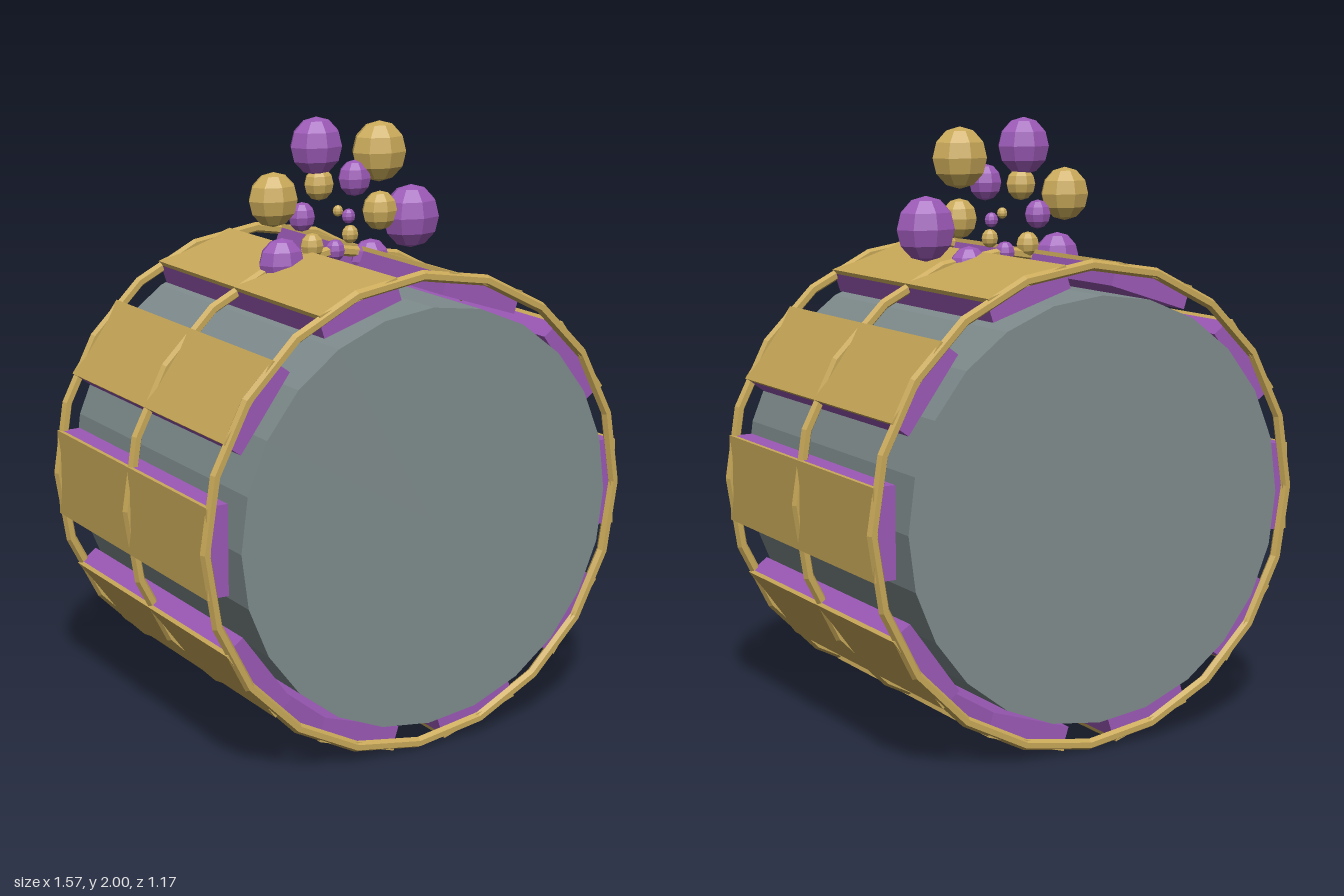
import * as THREE from 'three';

const CENTER_Y = 0.796;   // axis height of the drum
const PANELS = 10;

function material(name, color) {
  const m = new THREE.MeshStandardMaterial({ color, flatShading: true });
  m.name = name;
  return m;
}

export function createModel() {
  const gold = material('gold', 0xc9a959);
  const purple = material('purple', 0x9b59b6);
  const grey = material('slate grey', 0x7f8c8d);

  const model = new THREE.Group();
  model.name = 'ornamentedDrum';

  const add = (parent, name, geometry, mat) => {
    const mesh = new THREE.Mesh(geometry, mat);
    mesh.name = name;
    parent.add(mesh);
    return mesh;
  };

  // Everything that turns around the horizontal z axis
  const drum = new THREE.Group();
  drum.name = 'drum';
  drum.position.y = CENTER_Y;
  model.add(drum);

  // Grey core
  add(drum, 'core', new THREE.CylinderGeometry(0.68, 0.68, 1.17, 24).rotateX(Math.PI / 2), grey);

  // Purple blocks, each covered by a thin gold plate
  const blockGeometry = new THREE.BoxGeometry(0.064, 0.29, 1.04).translate(0.721, 0, 0);
  const plateGeometry = new THREE.BoxGeometry(0.014, 0.29, 1.06).translate(0.76, 0, 0);
  for (let i = 0; i < PANELS; i++) {
    const panel = new THREE.Group();
    panel.name = 'panel';
    panel.rotation.z = (i / PANELS) * Math.PI * 2;
    add(panel, 'panelBlock', blockGeometry, purple);
    add(panel, 'panelPlate', plateGeometry, gold);
    drum.add(panel);
  }

  // Three gold hoops
  const hoopGeometry = new THREE.TorusGeometry(0.769, 0.018, 6, 20);
  for (const z of [-0.522, 0, 0.522]) {
    add(drum, 'hoop', hoopGeometry, gold).position.z = z;
  }

  // Spiral of flattened beads, growing outwards with alternating colours
  const spiral = new THREE.Group();
  spiral.name = 'beadSpiral';
  spiral.position.y = 1.655;
  model.add(spiral);
  const beadGeometry = new THREE.SphereGeometry(1, 8, 6);
  for (let i = 0; i < 16; i++) {
    const angle = THREE.MathUtils.degToRad(70 - 52.7 * i);
    const distance = 0.04 + 0.0172 * i;
    const size = 0.019 + 0.0058 * i;
    const bead = add(spiral, 'bead', beadGeometry, i % 2 ? purple : gold);
    bead.position.set(Math.cos(angle) * distance, Math.sin(angle) * distance, 0);
    bead.scale.set(size, size, size * 0.75);
  }

  return model;
}
